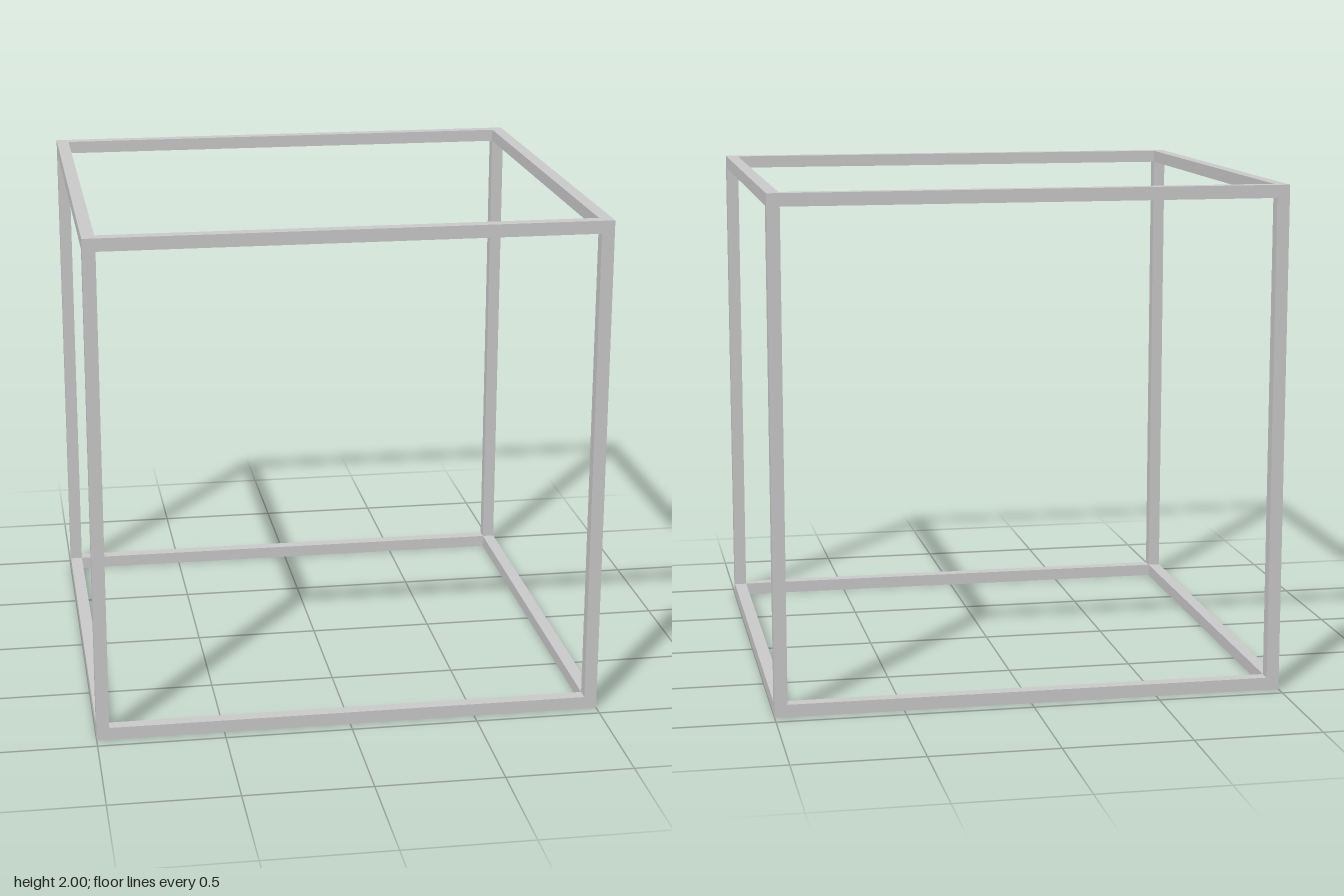
import * as THREE from 'three';

// Overall size of the open box frame and the thickness of its square bars
const W = 2, H = 2, D = 1.9, T = 0.05;

export function createModel() {
  const group = new THREE.Group();
  const material = new THREE.MeshStandardMaterial({ color: 0xcccccc });

  const bar = (name, size, position) => {
    const mesh = new THREE.Mesh(new THREE.BoxGeometry(...size), material);
    mesh.name = name;
    mesh.position.set(...position);
    group.add(mesh);
  };

  // Bar centre lines, set in by half a thickness
  const x = (W - T) / 2, z = (D - T) / 2;
  const levels = { bottom: T / 2, top: H - T / 2 };
  const sides = { Right: -1, Left: 1 };
  const ends = { Back: -1, Front: 1 };

  // Four full-height corner posts
  for (const [end, sz] of Object.entries(ends))
    for (const [side, sx] of Object.entries(sides))
      bar(`post${end}${side}`, [T, H, T], [sx * x, H / 2, sz * z]);

  // Bottom and top rails fitted between the posts
  for (const [level, y] of Object.entries(levels)) {
    for (const [end, sz] of Object.entries(ends))
      bar(`${level}${end}Rail`, [W - 2 * T, T, T], [0, y, sz * z]);
    for (const [side, sx] of Object.entries(sides))
      bar(`${level}${side}Rail`, [T, T, D - 2 * T], [sx * x, y, 0]);
  }

  return group;
}
